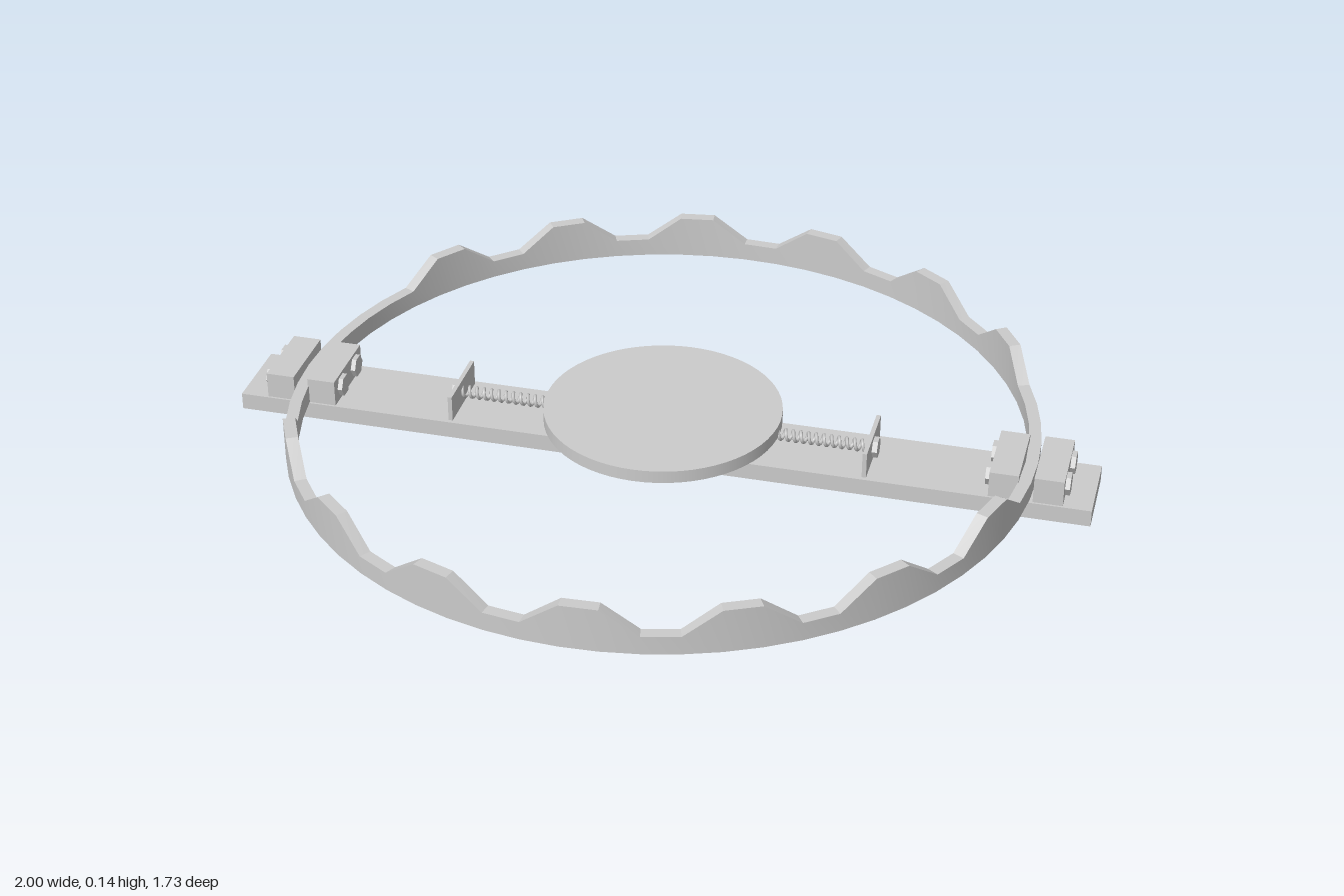
import * as THREE from 'three';
import { toCreasedNormals } from 'three/addons/utils/BufferGeometryUtils.js';

const material = new THREE.MeshStandardMaterial({ color: 0xcccccc });
const SEGMENTS = 64;       // steps around the full ring of both jaws
const INNER = 0.837, OUTER = 0.865;
const BOTTOM = 0.041, VALLEY = 0.085, PEAK = 0.145;

function addMesh(parent, name, geometry, x = 0, y = 0, z = 0) {
  const mesh = new THREE.Mesh(geometry, material);
  mesh.name = name;
  mesh.position.set(x, y, z);
  parent.add(mesh);
  return mesh;
}

function addBox(parent, name, x0, x1, y0, y1, depth) {
  return addMesh(parent, name, new THREE.BoxGeometry(x1 - x0, y1 - y0, depth), (x0 + x1) / 2, (y0 + y1) / 2, 0);
}

// Hexagonal head with its axis along x
function addHex(parent, name, radius, length, x, y, z) {
  const geometry = new THREE.CylinderGeometry(radius, radius, length, 6);
  geometry.rotateZ(Math.PI / 2);
  return addMesh(parent, name, toCreasedNormals(geometry, 0.4), x, y, z);
}

// Half ring with a toothed upper edge, swept as a rectangular section
function jawGeometry(first, last, isPeak) {
  const positions = [], index = [];
  for (let i = first; i <= last; i++) {
    const a = (i / SEGMENTS) * Math.PI * 2;
    const top = isPeak(i) ? PEAK : VALLEY;
    for (const [r, y] of [[INNER, BOTTOM], [OUTER, BOTTOM], [OUTER, top], [INNER, top]]) {
      positions.push(r * Math.cos(a), y, r * Math.sin(a));
    }
  }
  const steps = last - first;
  for (let s = 0; s < steps; s++) {
    for (let c = 0; c < 4; c++) {
      const a = s * 4 + c, b = s * 4 + (c + 1) % 4;
      index.push(a, b, b + 4, a, b + 4, a + 4);
    }
  }
  // End caps
  const e = steps * 4;
  index.push(0, 2, 1, 0, 3, 2, e, e + 1, e + 2, e, e + 2, e + 3);
  const geometry = new THREE.BufferGeometry();
  geometry.setAttribute('position', new THREE.Float32BufferAttribute(positions, 3));
  geometry.setIndex(index);
  return toCreasedNormals(geometry, 0.3);
}

// Coil running along x
class Coil extends THREE.Curve {
  constructor(x0, x1, radius, turns) {
    super();
    Object.assign(this, { x0, x1, radius, turns });
  }
  getPoint(t, target = new THREE.Vector3()) {
    const a = t * this.turns * Math.PI * 2;
    return target.set(this.x0 + (this.x1 - this.x0) * t, this.radius * Math.cos(a), this.radius * Math.sin(a));
  }
}

// Hinge clamps, spring and stop plate on one end of the bar
function createBarEnd() {
  const end = new THREE.Group();
  addBox(end, 'outerHingeBlock', 0.868, 0.935, 0.04, 0.102, 0.18);
  addBox(end, 'innerHingeBlock', 0.768, 0.834, 0.04, 0.102, 0.18);
  for (const z of [-0.045, 0.045]) {
    addHex(end, 'outerBolt', 0.026, 0.014, 0.939, 0.072, z);
    addHex(end, 'innerBolt', 0.026, 0.014, 0.764, 0.072, z);
  }
  addBox(end, 'springPlate', 0.482, 0.492, 0.04, 0.102, 0.17);
  addHex(end, 'springNut', 0.024, 0.012, 0.498, 0.07, 0);
  const coil = new Coil(0.2, 0.484, 0.012, 16);
  addMesh(end, 'spring', new THREE.TubeGeometry(coil, 256, 0.004, 6), 0, 0.07, 0);
  return end;
}

export function createModel() {
  const model = new THREE.Group();
  model.name = 'jawTrap';

  addBox(model, 'baseBar', -1, 1, 0, 0.04, 0.19);

  // Toothed jaws
  const half = SEGMENTS / 2;
  addMesh(model, 'frontJaw', jawGeometry(0, half, i => i >= 3 && i <= 28 && (i % 4 === 3 || i % 4 === 0)));
  addMesh(model, 'backJaw', jawGeometry(half, SEGMENTS, i => i >= 38 && i <= 59 && (i % 4 === 2 || i % 4 === 3)));

  // Trigger plate on its short post
  addMesh(model, 'triggerPlate', new THREE.CylinderGeometry(0.275, 0.275, 0.03, 64), 0, 0.087, 0);
  addMesh(model, 'triggerPost', new THREE.CylinderGeometry(0.06, 0.06, 0.04, 24), 0, 0.058, 0);

  // Matching ends
  const leftEnd = createBarEnd();
  leftEnd.name = 'leftEnd';
  const rightEnd = createBarEnd();
  rightEnd.name = 'rightEnd';
  rightEnd.rotation.y = Math.PI;
  model.add(leftEnd, rightEnd);

  return model;
}
